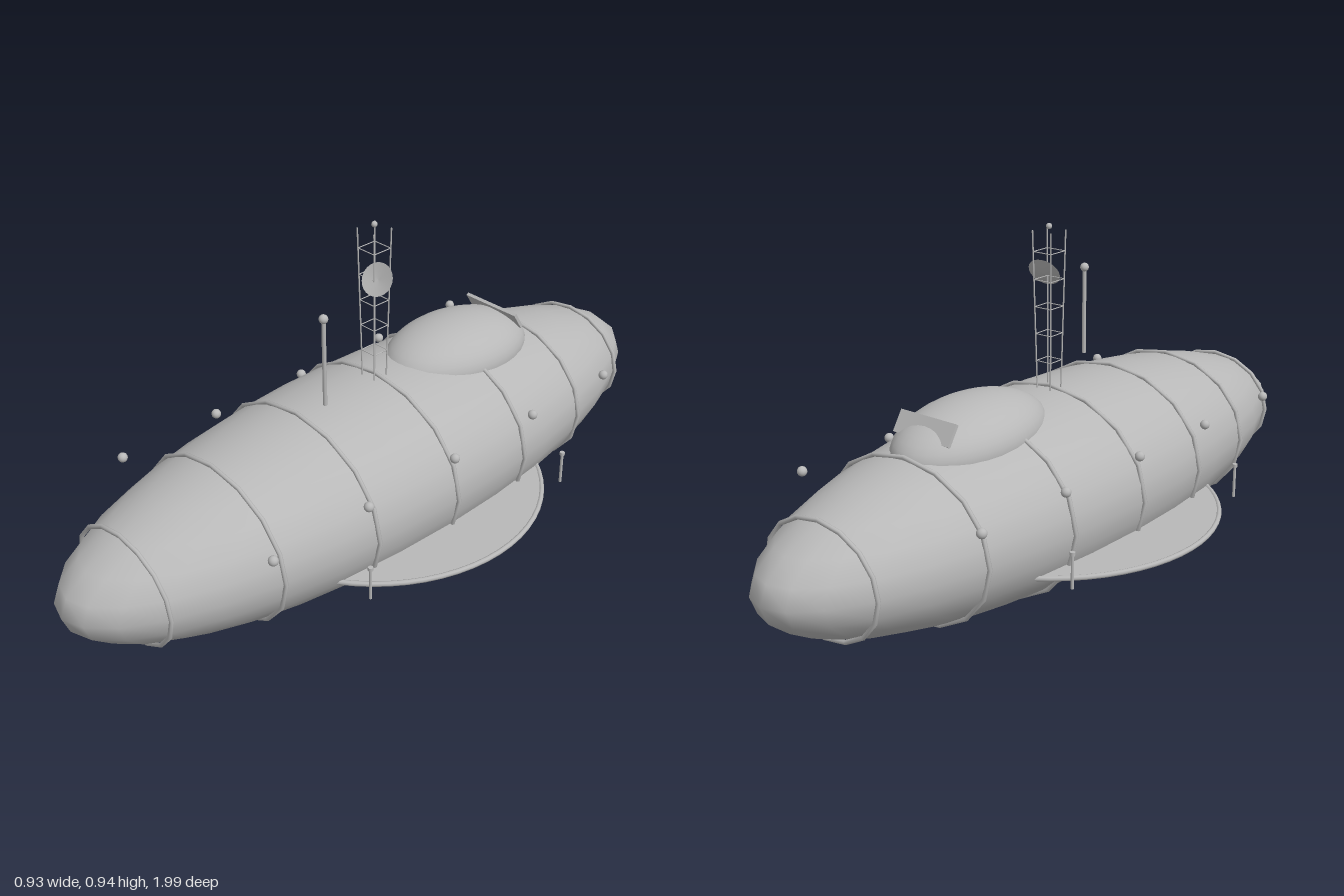
import * as THREE from 'three';

export function createModel() {
  const model = new THREE.Group();
  model.name = 'airship';
  const grey = new THREE.MeshStandardMaterial({ color: 0xb8b8b8, side: THREE.DoubleSide });
  grey.name = 'hull grey';

  const add = (name, geometry, x = 0, y = 0, z = 0, parent = model) => {
    const mesh = new THREE.Mesh(geometry, grey);
    mesh.name = name;
    mesh.position.set(x, y, z);
    parent.add(mesh);
    return mesh;
  };
  // Thin round bar between two points
  const bar = (name, a, b, r, parent = model) => {
    const dir = b.clone().sub(a);
    const mesh = add(name, new THREE.CylinderGeometry(r, r, dir.length(), 8), 0, 0, 0, parent);
    mesh.position.copy(a).add(b).multiplyScalar(0.5);
    mesh.quaternion.setFromUnitVectors(new THREE.Vector3(0, 1, 0), dir.normalize());
    return mesh;
  };
  const v = (x, y, z) => new THREE.Vector3(x, y, z);

  // Long ellipsoid hull
  const midY = 0.26, rx = 0.31, ry = 0.247;
  add('hull', new THREE.SphereGeometry(1, 32, 16).scale(rx, ry, 0.997), 0, midY, 0);

  // Raised frame rings around the hull
  for (const z of [-0.82, -0.545, -0.272, 0, 0.272, 0.545, 0.82]) {
    const s = Math.sqrt(1 - z * z);
    const ring = new THREE.TorusGeometry(1, 0.006, 8, 16);
    const p = ring.attributes.position;
    for (let i = 0; i < p.count; i++) {
      const angle = Math.atan2(p.getY(i), p.getX(i));
      const offset = Math.hypot(p.getX(i), p.getY(i)) - 1 + 0.005;
      p.setX(i, Math.cos(angle) * (rx * s + offset));
      p.setY(i, Math.sin(angle) * (ry * s + offset));
    }
    add('hullRing', ring, 0, midY, z);
  }

  // Round side platform with a rolled rim
  add('platform', new THREE.CylinderGeometry(0.457, 0.457, 0.008, 64), 0, 0.173, 0);
  add('platformRim', new THREE.TorusGeometry(0.457, 0.007, 8, 64).rotateX(Math.PI / 2), 0, 0.173, 0);

  for (const side of [-1, 1]) {
    // Capped posts at the platform edge
    for (const z of [-0.36, 0.36]) {
      add('platformPost', new THREE.CylinderGeometry(0.004, 0.004, 0.09, 8), side * 0.36, 0.216, z);
      add('postCap', new THREE.CylinderGeometry(0.007, 0.007, 0.009, 8), side * 0.36, 0.262, z);
    }
    // Row of side lamps
    for (const z of [-0.605, -0.3025, 0, 0.3025, 0.605]) {
      add('sideLamp', new THREE.SphereGeometry(0.013, 16, 10), side * 0.295, 0.382, z);
    }
  }

  // Upper cabin dome with a slanted rear plate
  const dome = add('cabinDome', new THREE.SphereGeometry(1, 32, 20).scale(0.15, 0.1, 0.24), 0, 0.462, -0.312);
  dome.rotation.x = -0.05;
  const plate = add('cabinPlate', new THREE.BoxGeometry(0.18, 0.058, 0.009), 0, 0.524, -0.47);
  plate.rotation.x = 0.57;

  // Lattice mast with four legs and square bands of rungs
  const mast = new THREE.Group();
  mast.name = 'mast';
  model.add(mast);
  const y0 = 0.5, y1 = 0.925;
  const corners = [[-1, -1], [1, -1], [1, 1], [-1, 1]];
  const at = ([cx, cz], y) => {
    const h = THREE.MathUtils.mapLinear(y, y0, y1, 0.022, 0.03);
    return v(cx * h, y, cz * h);
  };
  corners.forEach((c, i) => {
    bar('mastLeg', at(c, y0), at(c, y1), 0.002, mast);
    for (const y of [0.58, 0.653, 0.725, 0.797, 0.87]) {
      bar('mastRung', at(c, y), at(corners[(i + 1) % 4], y), 0.0013, mast);
    }
  });
  add('mastBall', new THREE.SphereGeometry(0.008, 12, 8), 0, 0.935, 0, mast);

  // Shallow dish on the mast, tipped upward
  const dish = add('dish', new THREE.LatheGeometry(
    [[0, -0.006], [0.022, -0.004], [0.044, 0]].map(([x, y]) => new THREE.Vector2(x, y)), 24), 0.037, 0.805, 0.026);
  dish.quaternion.setFromUnitVectors(v(0, 1, 0), v(0.18, 0.52, 0.82).normalize());

  // Ball-topped pole
  bar('pole', v(0.06, 0.535, 0.228), v(0.06, 0.775, 0.228), 0.0055);
  add('poleBall', new THREE.SphereGeometry(0.012, 16, 10), 0.06, 0.777, 0.228);

  return model;
}
